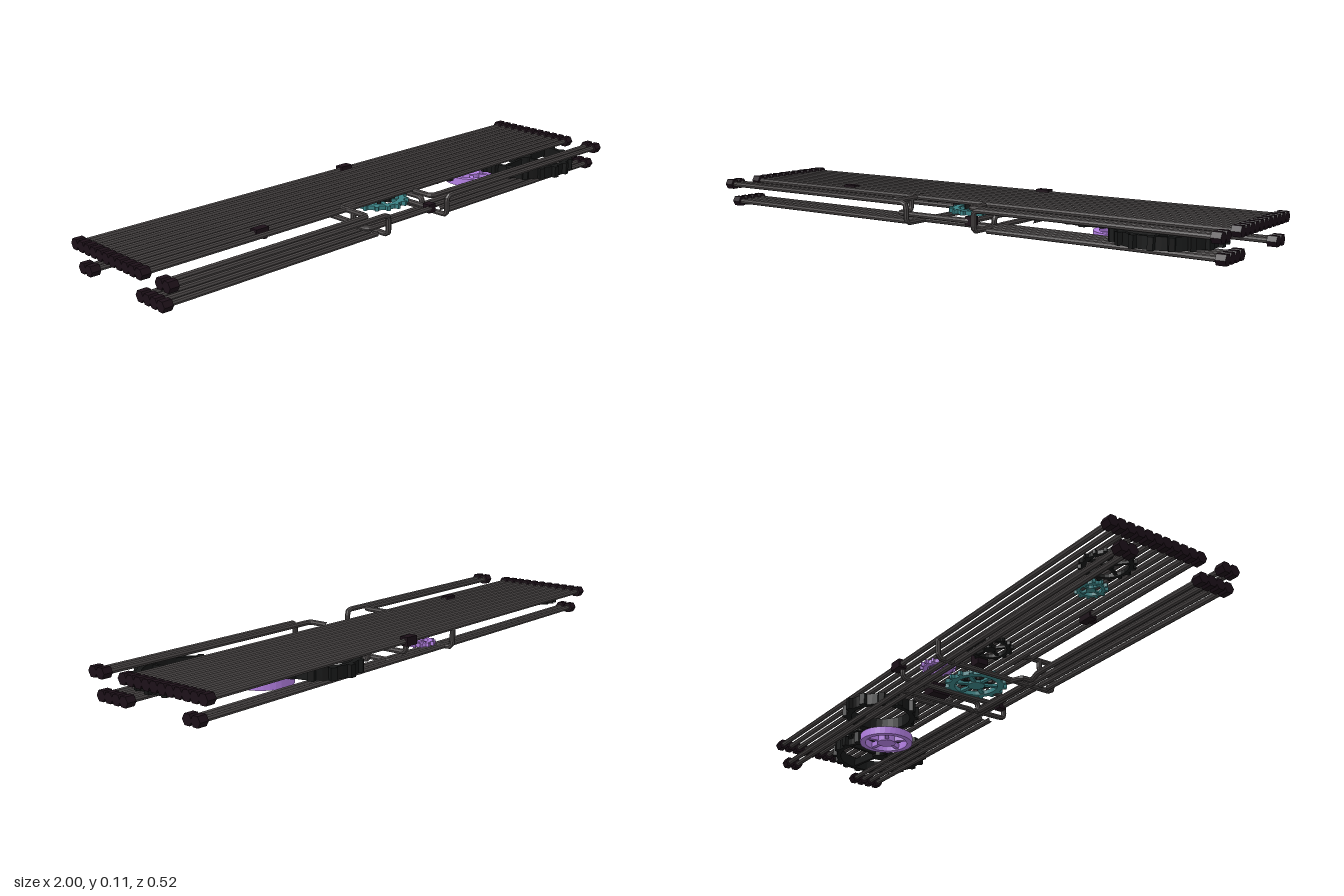
import * as THREE from 'three';

const mat = (color) => new THREE.MeshStandardMaterial({ color });
const rodMat = mat(0x4a4646), capMat = mat(0x1c1018), blackMat = mat(0x161717);
const purpleMat = mat(0xb480e4), tealMat = mat(0x3a8285);
rodMat.flatShading = capMat.flatShading = blackMat.flatShading = true;
const TOP = 0.093, LOW = 0.025, R = 0.0095, PITCH = 0.0334, END = 0.985;

export function createModel() {
  const model = new THREE.Group();

  const add = (name, geo, material, x = 0, y = 0, z = 0, parent = model) => {
    const mesh = new THREE.Mesh(geo, material);
    mesh.name = name;
    mesh.position.set(x, y, z);
    parent.add(mesh);
    return mesh;
  };

  // Pipe through corner points, with rounded bends
  const pipe = (name, pts, bend = 0.018) => {
    const p = pts.map((a) => new THREE.Vector3(...a));
    const path = new THREE.CurvePath();
    let from = p[0];
    for (let i = 1; i < p.length - 1; i++) {
      const toward = (q) => p[i].clone().add(q.clone().sub(p[i]).setLength(bend));
      const a = toward(p[i - 1]), b = toward(p[i + 1]);
      path.add(new THREE.LineCurve3(from, a));
      path.add(new THREE.QuadraticBezierCurve3(a, p[i], b));
      from = b;
    }
    path.add(new THREE.LineCurve3(from, p[p.length - 1]));
    return add(name, new THREE.TubeGeometry(path, p.length > 2 ? 100 : 1, R, 8), rodMat);
  };

  // Hexagonal cap at a rod end
  const capGeo = new THREE.CylinderGeometry(0.0195, 0.0195, 0.032, 6).rotateZ(Math.PI / 2);
  const cap = (side, y, z) => add('endCap', capGeo, capMat, side * END, y, z);
  const bothCaps = (y, z) => { cap(1, y, z); cap(-1, y, z); };

  // Upper deck of straight rods
  for (let i = -7; i <= 3; i++) {
    const z = i * PITCH;
    pipe('upperRod', [[-END, TOP, z], [END, TOP, z]]);
    bothCaps(TOP, z);
  }
  // Lower rods at the back
  for (const i of [-6, -5]) {
    pipe('lowerRod', [[-END, LOW, i * PITCH], [END, LOW, i * PITCH]]);
    bothCaps(LOW, i * PITCH);
  }
  // Lower rods at the front, broken around the middle
  for (const i of [3, 4, 5, 6]) {
    const z = i * PITCH;
    bothCaps(LOW, z);
    if (i === 4) pipe('lowerRod', [[-END, LOW, z], [END, LOW, z]]);
    else if (i > 4) {
      pipe('lowerLeftRod', [[END, LOW, z], [0.17, LOW, z]]);
      pipe('lowerRightRod', [[-END, LOW, z], [-0.16, LOW, z]]);
    }
  }
  pipe('lowerBentRod', [[-END, LOW, 0.1], [-0.23, LOW, 0.1], [-0.2, R, 0.1], [-0.2, R, 0.06],
    [-0.12, LOW, 0.06]], 0.012);
  pipe('lowerBentRod', [[END, LOW, 0.1], [0.14, LOW, 0.1], [0.14, LOW, -0.2]]);

  // Upper front rods that bend into the middle
  for (const i of [6, 7]) bothCaps(TOP, i * PITCH);
  pipe('upperBentRod', [[-END, TOP, 0.2], [-0.2, TOP, 0.2], [-0.2, TOP, 0.07], [-0.14, TOP, 0.07]]);
  pipe('upperBentRod', [[-END, TOP, 0.234], [-0.14, TOP, 0.234], [-0.14, LOW, 0.234],
    [-0.14, LOW, -0.234], [-0.14, TOP, -0.234]]);
  pipe('upperBentRod', [[END, TOP, 0.2], [0.1, TOP, 0.2], [0.1, TOP, 0.12]]);
  pipe('upperBentRod', [[END, TOP, 0.234], [0.14, TOP, 0.234], [0.14, LOW, 0.234], [0.14, LOW, 0.1]]);
  pipe('crossLink', [[-0.2, TOP, 0.134], [-0.2, 0.05, 0.134], [-0.2, 0.05, 0.2], [0.1, 0.05, 0.2],
    [0.1, 0.05, -0.22], [0.1, TOP, -0.22]]);
  pipe('crossLink', [[-0.14, LOW, 0.12], [0.14, LOW, 0.12], [0.14, 0.06, 0.12], [0.14, 0.06, 0.0]]);
  pipe('crossLink', [[0.1, 0.05, -0.12], [0.175, 0.05, -0.12], [0.175, LOW, -0.12], [0.175, LOW, -0.05]], 0.01);

  // Collars and coupling blocks
  for (const [x, y, z, w, h, d] of [
    [0.105, TOP, -0.234, 0.05, 0.03, 0.03], [-0.535, TOP, 0.067, 0.05, 0.028, 0.028],
    [-0.535, 0.085, 0.085, 0.015, 0.016, 0.02], [0.145, 0.06, -0.05, 0.06, 0.04, 0.07],
    [-0.14, 0.06, -0.07, 0.04, 0.04, 0.04], [0.1, 0.05, 0.19, 0.03, 0.03, 0.03]]) {
    add('collar', new THREE.BoxGeometry(w, h, d), capMat, x, y, z);
  }

  // Flat wheel: toothed or plain rim, hub and spokes
  const wheel = (name, o) => {
    const { x, z, y, h, r, rim, material, teeth = 0, hub = 0, spokes = 0, tooth = 0.014 } = o;
    const g = new THREE.Group();
    g.name = name;
    g.position.set(x, y, z);
    model.add(g);
    const shape = new THREE.Shape();
    if (teeth) {
      const pts = [];
      const root = r - tooth;
      const at = (a, q) => pts.push(new THREE.Vector2(Math.cos(a) * q, Math.sin(a) * q));
      for (let i = 0; i < teeth; i++) {
        const a = (i / teeth) * Math.PI * 2, s = (Math.PI * 2) / teeth;
        at(a - s * 0.2, root); at(a - s * 0.14, r); at(a + s * 0.14, r);
        at(a + s * 0.2, root); at(a + s * 0.5, root);
      }
      shape.setFromPoints(pts);
    } else shape.absarc(0, 0, r, 0, Math.PI * 2);
    const inner = r - (teeth ? tooth : 0) - rim;
    shape.holes.push(new THREE.Path().absarc(0, 0, inner, 0, Math.PI * 2, true));
    const geo = new THREE.ExtrudeGeometry(shape, { depth: h, bevelEnabled: false, curveSegments: 16 });
    add('rim', geo.rotateX(-Math.PI / 2), material, 0, 0, 0, g);
    if (hub) add('hub', new THREE.CylinderGeometry(hub, hub, h, 12), material, 0, h / 2, 0, g);
    for (let i = 0; i < spokes; i++) {
      const len = inner + rim * 0.5;
      const spoke = add('spoke', new THREE.BoxGeometry(len, h * 0.7, rim * 0.7).translate(len / 2, 0, 0),
        material, 0, h / 2, 0, g);
      spoke.rotation.y = (i / spokes) * Math.PI * 2 + 0.15;
    }
  };

  wheel('largeBackGear', { x: 0.41, z: -0.122, y: 0.036, h: 0.041, r: 0.138, rim: 0.018, teeth: 12, material: blackMat });
  wheel('largeFrontGear', { x: 0.753, z: 0.078, y: 0.036, h: 0.041, r: 0.182, rim: 0.016, teeth: 18,
    hub: 0.028, spokes: 4, material: blackMat });
  wheel('lowerRingWheel', { x: 0.55, z: -0.013, y: 0.008, h: 0.028, r: 0.098, rim: 0.02, hub: 0.035,
    spokes: 5, material: purpleMat });
  wheel('thinGear', { x: 0.65, z: -0.06, y: 0.06, h: 0.014, r: 0.062, rim: 0.012, teeth: 14, tooth: 0.008, material: blackMat });
  wheel('centreGear', { x: 0.015, z: 0.025, y: 0.052, h: 0.015, r: 0.108, rim: 0.02, teeth: 16,
    spokes: 6, hub: 0.03, material: tealMat });
  wheel('centrePinion', { x: 0.02, z: 0.03, y: 0.062, h: 0.016, r: 0.055, rim: 0.012, teeth: 8,
    hub: 0.02, material: blackMat });
  wheel('smallBackGear', { x: -0.035, z: -0.165, y: 0.045, h: 0.014, r: 0.06, rim: 0.014, teeth: 14,
    tooth: 0.01, hub: 0.018, spokes: 4, material: purpleMat });
  wheel('midGear', { x: -0.225, z: -0.09, y: 0.06, h: 0.012, r: 0.078, rim: 0.012, teeth: 14,
    tooth: 0.01, hub: 0.02, spokes: 5, material: blackMat });
  wheel('farGear', { x: -0.845, z: -0.122, y: 0.062, h: 0.012, r: 0.085, rim: 0.012, teeth: 16,
    tooth: 0.01, hub: 0.02, spokes: 5, material: blackMat });
  wheel('farPinion', { x: -0.708, z: -0.068, y: 0.064, h: 0.012, r: 0.052, rim: 0.01, teeth: 12,
    tooth: 0.01, hub: 0.014, spokes: 4, material: tealMat });

  return model;
}
